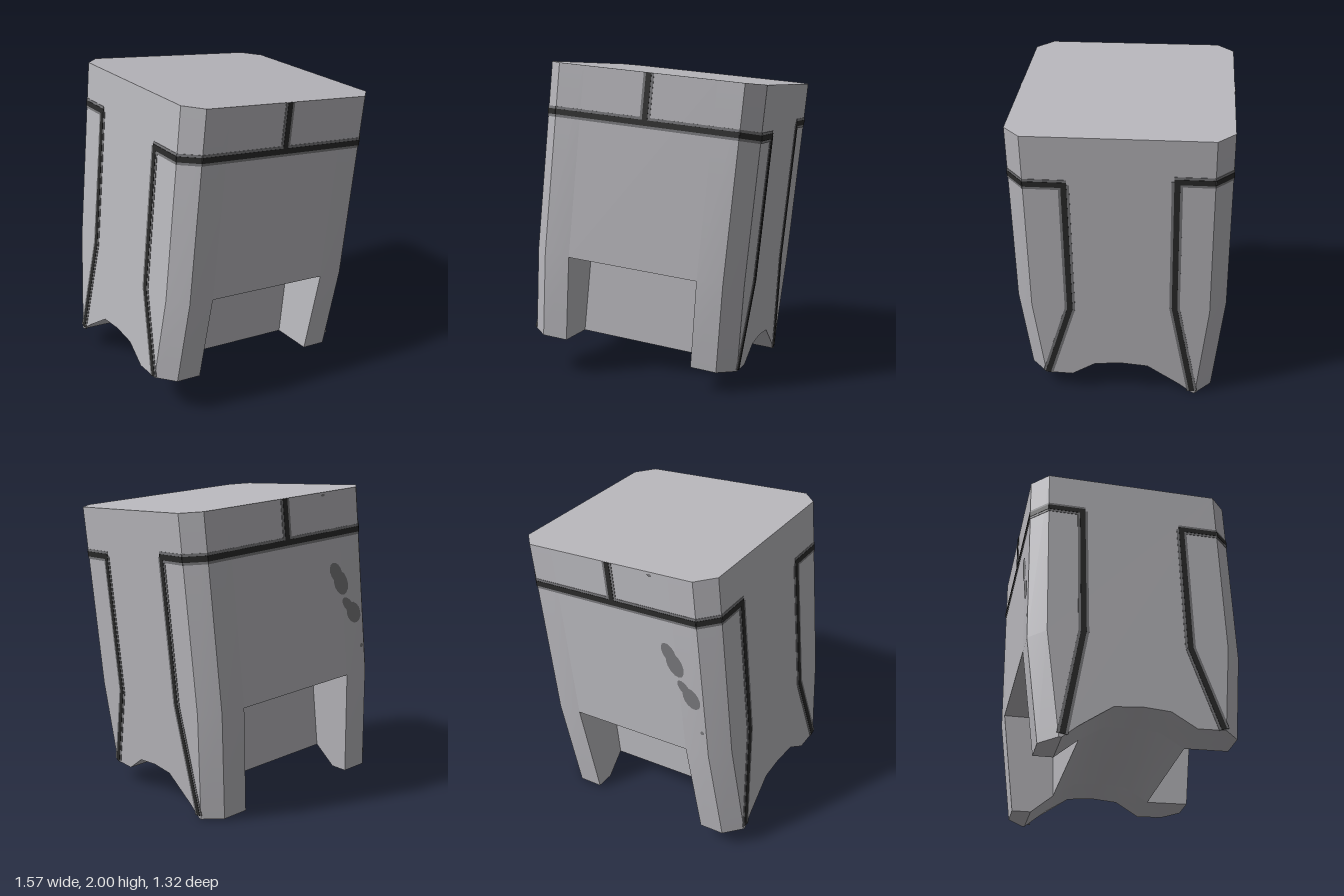
import * as THREE from 'three';
import { toCreasedNormals } from 'three/addons/utils/BufferGeometryUtils.js';

const TOP = 1.867, KNEE = 0.68, D = 0.657, DB = 0.585; // heights and half depths
const HW = 0.689, CH = 0.103, GAP = 0.422;             // half width, chamfer, half notch

const mat = (name, color, side = THREE.FrontSide) => {
  const m = new THREE.MeshStandardMaterial({ color, side });
  m.name = name;
  return m;
};

// Extrude a (z, y) side profile through the given x stations, cutting in the outer corners
function slab(profile, xs) {
  const shape = new THREE.Shape(profile.map(([z, y]) => new THREE.Vector2(-z, y)));
  const steps = xs.length - 1;
  const g = new THREE.ExtrudeGeometry(shape, { depth: 1, steps, bevelEnabled: false });
  g.rotateY(Math.PI / 2);
  const p = g.attributes.position;
  for (let i = 0; i < p.count; i++) {
    const x = xs[Math.round(p.getX(i) * steps)];
    const z = p.getZ(i);
    p.setX(i, x);
    if (Math.abs(x) > HW - 0.01 && Math.abs(z) > 0.5) p.setZ(i, z - Math.sign(z) * CH);
  }
  return toCreasedNormals(g, 0.6);
}

export function createModel() {
  const stone = mat('paleGrey', 0xb8b7bc);
  const dark = mat('seamDark', 0x2a2a2a);
  const soft = mat('seamGrey', 0x77777a, THREE.DoubleSide);

  const model = new THREE.Group();
  model.name = 'leaningBlock';
  const block = new THREE.Group();
  block.name = 'tiltedBody';
  block.rotation.z = -0.104;
  block.position.set(-0.1, 0.0715, 0);
  model.add(block);

  const add = (name, geo, material, parent = block) => {
    const m = new THREE.Mesh(geo, material);
    m.name = name;
    parent.add(m);
    return m;
  };

  // Body: a notched core between two full-depth sides with legs
  const arch = [[0.32, 0.12], [0.17, 0.215], [0, 0.23], [-0.17, 0.215], [-0.32, 0.12]];
  const sideProfile = [[D, TOP], [D, KNEE], [DB + 0.01, 0.125], ...arch,
    [-0.465, 0], [-DB, 0], [-D, KNEE], [-D, TOP]];
  const coreProfile = [[D, TOP], [D, KNEE], [0.32, KNEE], ...arch,
    [-0.32, KNEE], [-D, KNEE], [-D, TOP]];
  add('core', slab(coreProfile, [-GAP, GAP]), stone);
  add('leftLegs', slab(sideProfile, [GAP, HW - CH, HW]), stone);
  add('rightLegs', slab(sideProfile, [-HW, CH - HW, -GAP]), stone);

  // Seams: thin bars lying on the surface, dark core over a wider grey border
  const seams = new THREE.Group();
  seams.name = 'seams';
  block.add(seams);
  function bar(a, b, n, extend = 0) {
    const p = new THREE.Vector3(...a), q = new THREE.Vector3(...b);
    const dir = q.clone().sub(p).normalize();
    q.addScaledVector(dir, extend);
    const normal = new THREE.Vector3(...n).normalize();
    const across = normal.clone().cross(dir);
    const basis = new THREE.Matrix4().makeBasis(dir, across, normal);
    basis.setPosition(p.clone().add(q).multiplyScalar(0.5));
    for (const [name, w, t, m] of [['seamBorder', 0.065, 0.005, soft], ['seamLine', 0.034, 0.009, dark]]) {
      add(name, new THREE.BoxGeometry(p.distanceTo(q), w, t).applyMatrix4(basis), m, seams);
    }
  }
  const lines = [
    { f: 1, y0: 1.571, y1: 1.56, z: 0.315, knee: 0.66, foot: [0.13, 0.48] },
    { f: -1, y0: 1.605, y1: 1.605, z: 0.337, knee: 0.7, foot: [0.02, 0.462] },
  ];
  for (const { f, y0, y1, z, knee, foot } of lines) {
    bar([0, TOP - 0.001, f * D], [0, y0, f * D], [0, 0, f]);
    for (const s of [1, -1]) {
      const a = [s * (HW - CH), y0, f * D], b = [s * HW, y1, f * (D - CH)];
      const c = [s * HW, y1, f * z], d = [s * HW, knee, f * z];
      bar([0, y0, f * D], a, [0, 0, f]);
      bar(a, b, [s, 0, f]);
      bar(b, c, [s, 0, 0], 0.017);
      bar(c, d, [s, 0, 0], 0.005);
      bar(d, [s * HW, foot[0], f * foot[1]], [s, 0, 0]);
    }
  }

  // Stains on the back face: x, y, half width, half height, tilt
  const stains = [
    [-0.375, 1.36, 0.045, 0.07, 0.5], [-0.41, 1.29, 0.055, 0.085, 0.4],
    [-0.46, 1.14, 0.032, 0.06, 0.7], [-0.505, 1.08, 0.055, 0.075, 0.5],
    [-0.56, 0.85, 0.013, 0.013, 0], [-0.3, 1.85, 0.015, 0.008, 0],
  ];
  stains.forEach(([x, y, w, h, tilt], i) => {
    const g = new THREE.CircleGeometry(1, 14).scale(w, h, 1).rotateZ(tilt).rotateY(Math.PI);
    add('stain', g, soft).position.set(x, y, -D - 0.003 - i * 0.0004);
  });

  return model;
}
